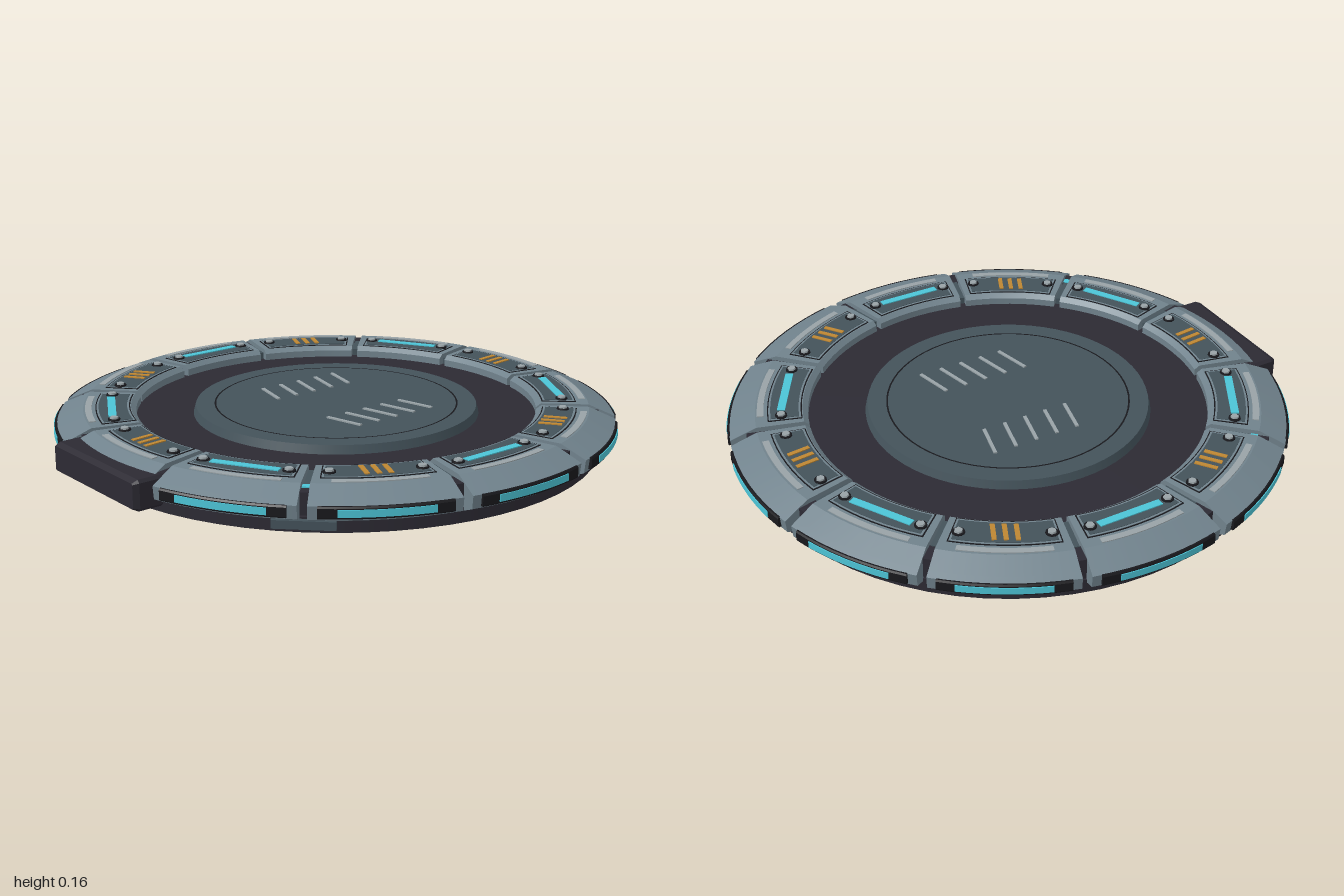
import * as THREE from 'three';
import { toCreasedNormals } from 'three/addons/utils/BufferGeometryUtils.js';

const material = (name, color) => {
  const m = new THREE.MeshStandardMaterial({ color });
  m.name = name;
  return m;
};
const steel = material('steel blue grey', 0x70828c);
const slate = material('slate', 0x43525a);
const dark = material('dark plum grey', 0x2c2a33);
const black = material('black', 0x18181c);
const cyan = material('cyan light', 0x4cc4d6);
const orange = material('orange', 0xbd8632);
const pale = material('pale grey', 0x98a2a6);

const deg = Math.PI / 180;

// Sweeps a convex counter-clockwise (radius, height) profile about y, centred on +z
function sector(profile, halfDegrees, steps = 8) {
  const pos = [];
  const n = profile.length;
  const point = (i, s) => {
    const a = halfDegrees * deg * (2 * s / steps - 1);
    const [r, y] = profile[i % n];
    return [r * Math.sin(a), y, r * Math.cos(a)];
  };
  for (let s = 0; s < steps; s++) {
    for (let i = 0; i < n; i++) {
      const a = point(i, s), b = point(i + 1, s), c = point(i + 1, s + 1), d = point(i, s + 1);
      pos.push(...a, ...d, ...c, ...a, ...c, ...b);
    }
  }
  for (let i = 1; i < n - 1; i++) {
    pos.push(...point(0, 0), ...point(i, 0), ...point(i + 1, 0));
    pos.push(...point(0, steps), ...point(i + 1, steps), ...point(i, steps));
  }
  const g = new THREE.BufferGeometry();
  g.setAttribute('position', new THREE.Float32BufferAttribute(pos, 3));
  return toCreasedNormals(g, 0.35);
}

const slab = (r0, r1, y0, y1) => [[r0, y0], [r1, y0], [r1, y1], [r0, y1]];

function add(parent, name, geometry, mat, x = 0, y = 0, z = 0, turn = 0) {
  const mesh = new THREE.Mesh(geometry, mat);
  mesh.name = name;
  mesh.position.set(x, y, z);
  mesh.rotation.y = turn;
  parent.add(mesh);
  return mesh;
}

export function createModel() {
  const model = new THREE.Group();
  model.name = 'platform';
  const ring = new THREE.Group();
  ring.name = 'ring';
  ring.position.z = -0.004;
  model.add(ring);

  // Base and sunken floor
  add(ring, 'base', new THREE.CylinderGeometry(0.935, 0.935, 0.05, 64), dark, 0, 0.025);
  add(ring, 'floor', new THREE.CylinderGeometry(0.9, 0.9, 0.06, 64), dark, 0, 0.075);

  // Raised centre disc with a groove line
  add(ring, 'centreDisc', new THREE.CylinderGeometry(0.5, 0.51, 0.035, 64), slate, 0, 0.1175);
  const groove = add(ring, 'discGroove', new THREE.RingGeometry(0.428, 0.434, 64), black, 0, 0.1362);
  groove.rotation.x = -Math.PI / 2;

  // Two banks of grip slats
  const slat = new THREE.BoxGeometry(0.145, 0.006, 0.012);
  for (const side of [-1, 1]) {
    for (let i = 0; i < 5; i++) {
      add(ring, 'gripSlat', slat, pale, side * 0.21, 0.137, -0.19 + i * 0.081, side * 13 * deg);
    }
  }

  // Geometry shared by the twelve segments
  const body = sector([[0.71, 0.04], [0.925, 0.035], [0.983, 0.06], [0.988, 0.105], [0.965, 0.115],
    [0.895, 0.145], [0.728, 0.145], [0.71, 0.13]], 14.1);
  const panelEdge = sector(slab(0.731, 0.852, 0.143, 0.147), 12.4);
  const panelRim = sector(slab(0.735, 0.848, 0.143, 0.148), 12.1);
  const panel = sector(slab(0.742, 0.841, 0.143, 0.1495), 11.6);
  const trim = sector(slab(0.865, 0.888, 0.143, 0.148), 10);
  const housing = sector([[0.95, 0.066], [0.993, 0.066], [0.995, 0.07], [0.995, 0.1],
    [0.991, 0.106], [0.95, 0.106]], 12.3);
  const rimLight = sector(slab(0.98, 0.998, 0.073, 0.097), 8.8);
  const topLight = new THREE.BoxGeometry(0.235, 0.006, 0.028);
  const stroke = new THREE.BoxGeometry(0.016, 0.006, 0.08);
  const washer = new THREE.CylinderGeometry(0.021, 0.022, 0.006, 12);
  const bolt = new THREE.CylinderGeometry(0.014, 0.016, 0.009, 6);
  const joint = new THREE.BoxGeometry(0.05, 0.075, 0.07);
  const jointStrip = new THREE.BoxGeometry(0.02, 0.03, 0.13);

  for (let k = 0; k < 12; k++) {
    const segment = new THREE.Group();
    segment.name = 'segment';
    segment.rotation.y = k * 30 * deg;
    ring.add(segment);
    add(segment, 'segmentBody', body, steel);
    add(segment, 'panelEdge', panelEdge, black);
    add(segment, 'panelRim', panelRim, steel);
    add(segment, 'panel', panel, slate);
    add(segment, 'trimStrip', trim, pale);
    if (k !== 0) {
      add(segment, 'rimHousing', housing, black);
      add(segment, 'rimLight', rimLight, cyan);
    }
    // Alternating warning strokes and light bars
    if (k % 2 === 0) {
      for (const i of [-1, 0, 1]) add(segment, 'warningStroke', stroke, orange, i * 0.038, 0.15, 0.79, 6 * deg);
    } else {
      add(segment, 'topLight', topLight, cyan, 0, 0.15, 0.795);
    }
    for (const side of [-1, 1]) {
      add(segment, 'boltWasher', washer, black, side * 0.147, 0.151, 0.79);
      add(segment, 'bolt', bolt, pale, side * 0.147, 0.1555, 0.79);
    }
    // Joint filling the gap to the next segment
    const gap = new THREE.Group();
    gap.name = 'gapJoint';
    gap.rotation.y = 15 * deg;
    segment.add(gap);
    add(gap, 'jointBlock', joint, dark, 0, 0.09, 0.895);
    add(gap, 'jointStrip', jointStrip, slate, 0, 0.115, 0.8);
  }

  // Small feet under the two front diagonal joints
  for (const side of [-1, 1]) {
    const foot = new THREE.Group();
    foot.name = 'footBracket';
    foot.rotation.y = side * 45 * deg;
    ring.add(foot);
    add(foot, 'foot', new THREE.BoxGeometry(0.2, 0.028, 0.09), slate, 0, 0.03, 0.91);
    add(foot, 'jointLight', new THREE.BoxGeometry(0.024, 0.01, 0.025), cyan, 0, 0.127, 0.88);
  }

  // Front connector block with chamfered face
  const outline = new THREE.Shape();
  outline.moveTo(-0.25, 0.03).lineTo(-0.24, 0.02).lineTo(0.24, 0.02).lineTo(0.25, 0.03)
    .lineTo(0.25, 0.115).lineTo(0.24, 0.125).lineTo(-0.24, 0.125).lineTo(-0.25, 0.115);
  const block = new THREE.ExtrudeGeometry(outline, {
    depth: 0.09, bevelEnabled: true, bevelThickness: 0.02, bevelSize: 0.01, bevelOffset: -0.01, bevelSegments: 1,
  });
  add(model, 'frontBlock', block, dark, 0, 0, 0.89);
  return model;
}
